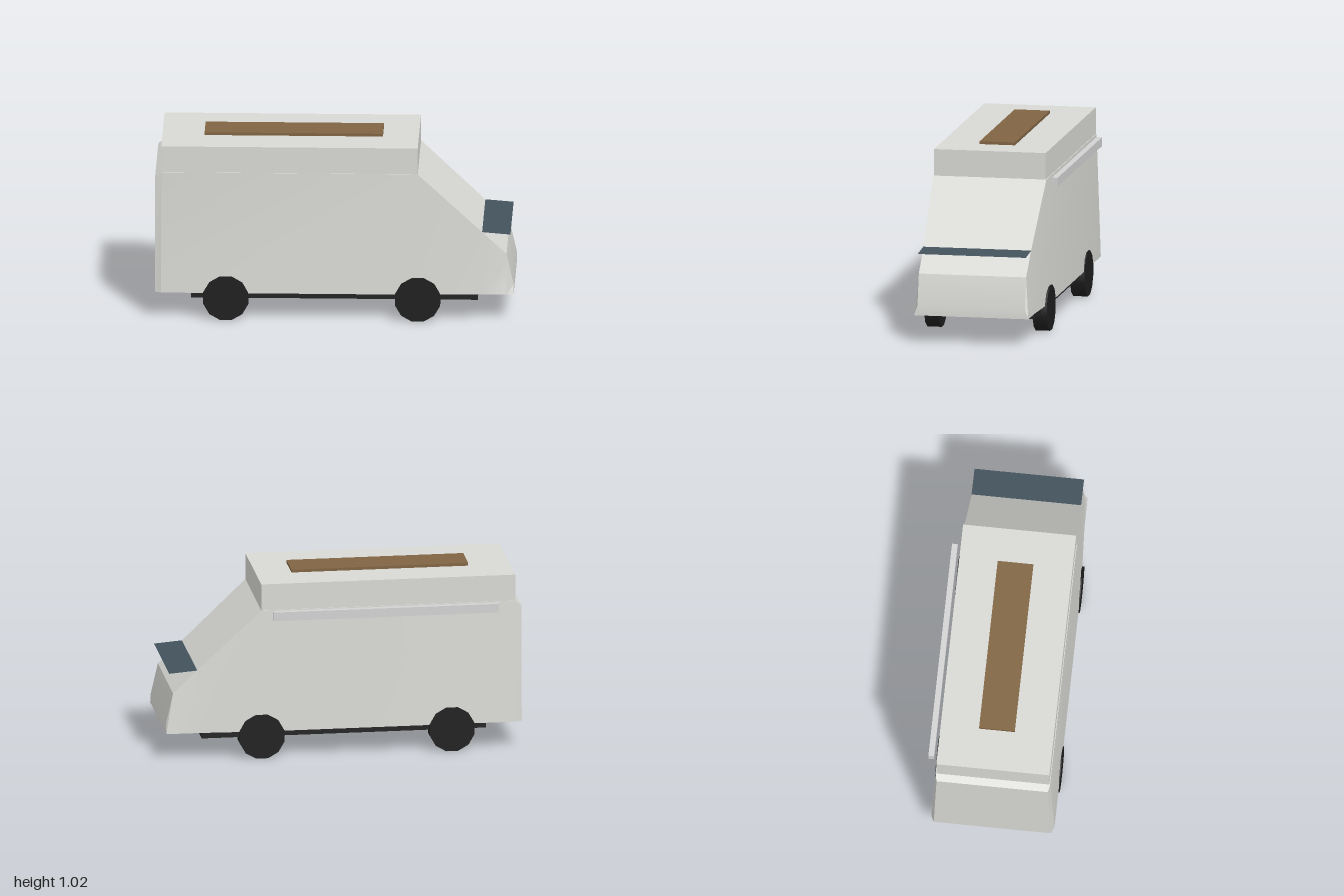
import * as THREE from 'three';
import { toCreasedNormals } from 'three/addons/utils/BufferGeometryUtils.js';

const material = (name, color, side = THREE.FrontSide) => {
  const m = new THREE.MeshStandardMaterial({ color, side });
  m.name = name;
  return m;
};

// Shell lofted along x from four-cornered sections: [x, top y, bottom half width, top half width]
function shellGeometry(sections, bottom) {
  const positions = [];
  const indices = [];
  const n = sections.length;
  for (const [x, top, wb, wt] of sections) {
    positions.push(x, bottom, wb, x, top, wt, x, top, -wt, x, bottom, -wb);
  }
  for (let i = 0; i < n - 1; i++) {
    for (let k = 0; k < 4; k++) {
      const next = (k + 1) % 4;
      const a = i * 4 + k, b = a + 4, c = i * 4 + 4 + next, d = i * 4 + next;
      indices.push(a, b, c, a, c, d);
    }
  }
  const e = (n - 1) * 4;
  indices.push(0, 1, 2, 0, 2, 3, e, e + 3, e + 2, e, e + 2, e + 1);
  const g = new THREE.BufferGeometry();
  g.setAttribute('position', new THREE.Float32BufferAttribute(positions, 3));
  g.setIndex(indices);
  return toCreasedNormals(g.toNonIndexed(), 0.35);
}

export function createModel() {
  const group = new THREE.Group();
  group.name = 'camperVan';

  const paint = material('bodyPaint', 0xd8d8d4);
  const trim = material('awningGrey', 0xd2d2d2);
  const chassisBlack = material('chassisBlack', 0x222222);
  const rubber = material('tyreRubber', 0x1e1e1e);
  const brown = material('roofPanelBrown', 0x806442);
  const glass = material('tintedGlass', 0x43525c, THREE.DoubleSide);

  const add = (name, geometry, mat, x = 0, y = 0, z = 0) => {
    const mesh = new THREE.Mesh(geometry, mat);
    mesh.name = name;
    mesh.position.set(x, y, z);
    group.add(mesh);
    return mesh;
  };
  // Box given by its lower and upper limits
  const block = (name, mat, [x0, x1], [y0, y1], [z0, z1]) =>
    add(name, new THREE.BoxGeometry(x1 - x0, y1 - y0, z1 - z0), mat,
      (x0 + x1) / 2, (y0 + y1) / 2, (z0 + z1) / 2);

  const midZ = 0.012;

  // Body shell, tapering upward and toward the nose
  add('body', shellGeometry([
    [-1.0, 0.82, 0.328, 0.312],
    [-0.965, 0.85, 0.345, 0.321],
    [0.465, 0.85, 0.345, 0.321],
    [0.82, 0.516, 0.326, 0.306],
    [0.96, 0.385, 0.325, 0.305],
    [1.0, 0.21, 0.325, 0.305],
  ], 0.155), paint, 0, 0, midZ);

  // Raised roof, roof panel, awning and chassis
  block('highRoof', paint, [-0.965, 0.465], [0.845, 1.0], [-0.305, 0.329]);
  block('roofPanel', brown, [-0.73, 0.265], [1.0, 1.016], [-0.09, 0.11]);
  block('awning', trim, [-0.865, 0.4], [0.8, 0.85], [-0.36, -0.328]);
  block('chassis', chassisBlack, [-0.8, 0.8], [0.12, 0.156], [-0.305, 0.329]);

  // Thin tinted pane standing out from the sloping front
  const pane = new THREE.PlaneGeometry(0.16, 0.614);
  pane.rotateX(-Math.PI / 2);
  add('windscreen', pane, glass, 0.902, 0.506, midZ).rotation.z = -0.081;

  // Wheels
  const wheel = new THREE.CylinderGeometry(0.13, 0.13, 0.082, 12);
  wheel.rotateY(Math.PI / 12);
  wheel.rotateX(Math.PI / 2);
  for (const [end, x] of [['rear', -0.605], ['front', 0.465]]) {
    for (const [side, s] of [['Left', 1], ['Right', -1]]) {
      add(`${end}${side}Wheel`, wheel, rubber, x, 0.1256, midZ + s * 0.308);
    }
  }
  return group;
}
